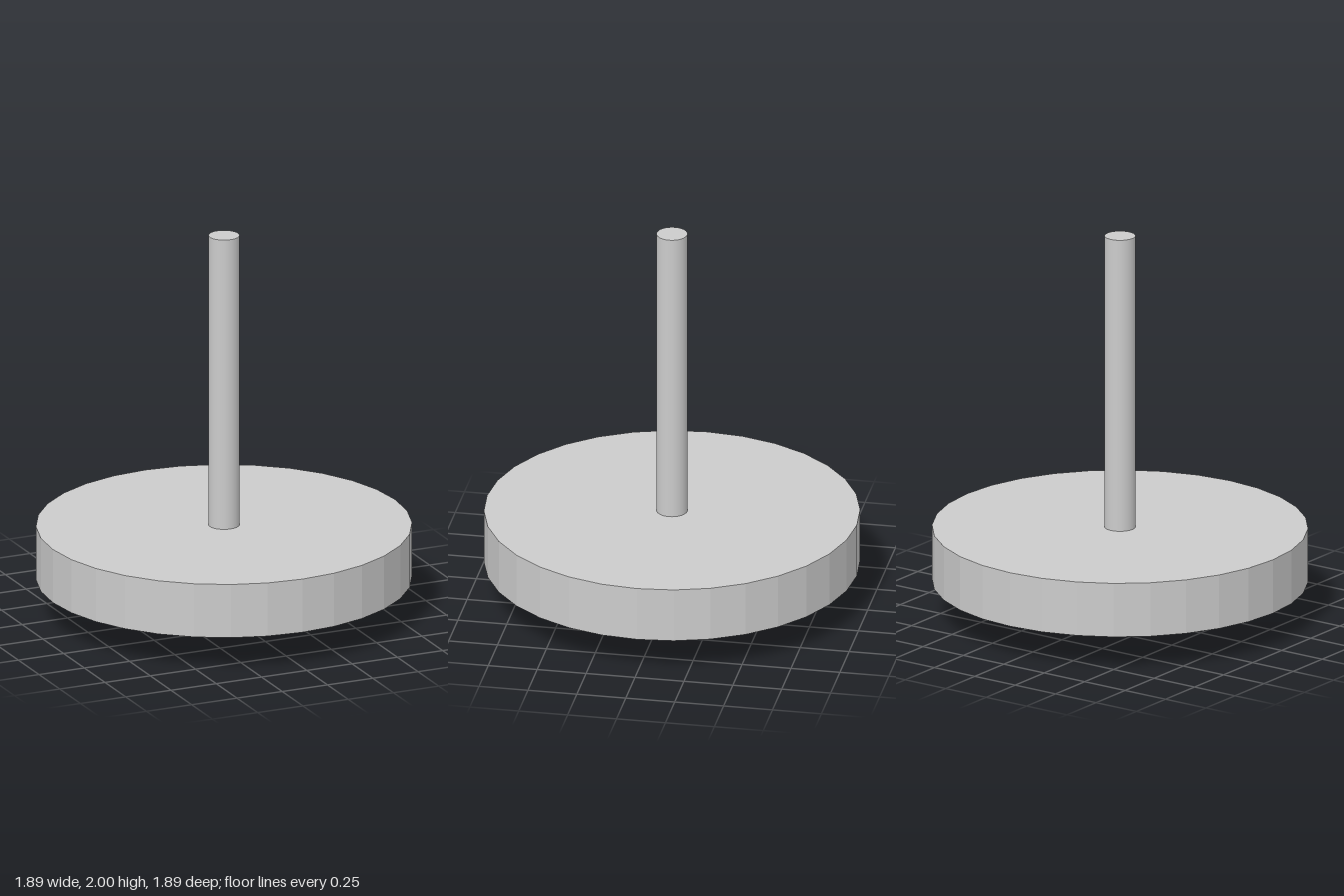
import * as THREE from 'three';

export function createModel() {
  const model = new THREE.Group();
  const smooth = new THREE.MeshStandardMaterial({ color: 0xcccccc });
  const faceted = new THREE.MeshStandardMaterial({ color: 0xcccccc, flatShading: true });

  function add(name, geometry, material, y) {
    const mesh = new THREE.Mesh(geometry, material);
    mesh.name = name;
    mesh.position.y = y;
    model.add(mesh);
  }

  // Upright cylinder from y0 to y1
  function rod(name, radius, y0, y1) {
    add(name, new THREE.CylinderGeometry(radius, radius, y1 - y0, 32), smooth, (y0 + y1) / 2);
  }

  // Faceted disc, hollowed from below to leave a thick rim
  const profile = [
    [0, 0.4], [0.785, 0.4], [0.785, 0.185],
    [0.945, 0.185], [0.945, 0.467], [0, 0.467],
  ].map(([r, y]) => new THREE.Vector2(r, y));
  add('disc', new THREE.LatheGeometry(profile, 32), faceted, 0);

  // Handle above the disc, short neck below it
  rod('handle', 0.078, 0.46, 2);
  rod('neck', 0.07, 0.2, 0.41);

  // Ball tip it spins on
  add('ballTip', new THREE.SphereGeometry(0.147, 32, 24), faceted, 0.147);

  return model;
}
